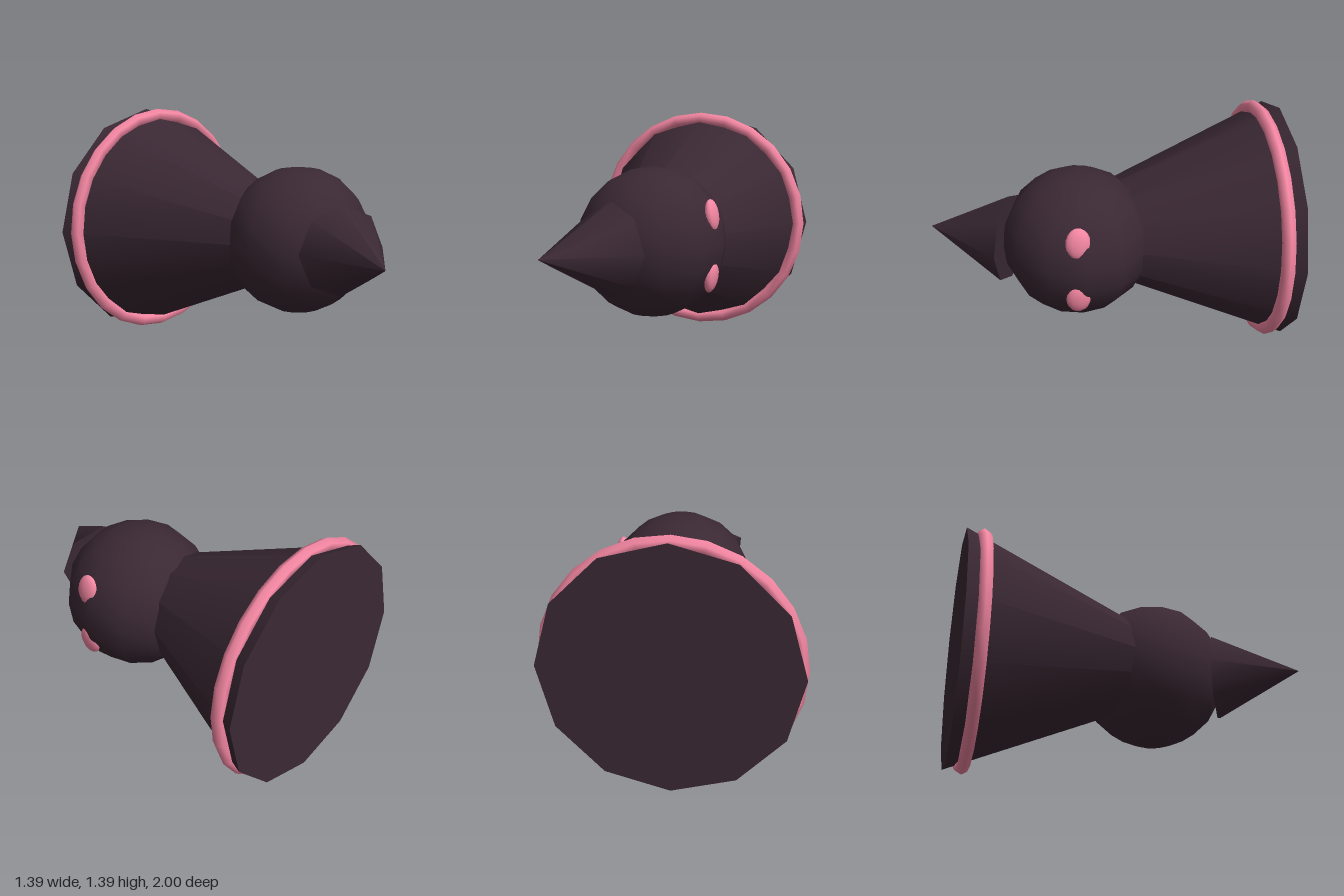
import * as THREE from 'three';

const CENTER_Y = 0.7;

export function createModel() {
  const model = new THREE.Group();
  const dark = new THREE.MeshStandardMaterial({ color: 0x3a2833 });
  const pink = new THREE.MeshStandardMaterial({ color: 0xf587a3 });

  const add = (name, geometry, material, x, y, z) => {
    const mesh = new THREE.Mesh(geometry, material);
    mesh.name = name;
    mesh.position.set(x, CENTER_Y + y, z);
    model.add(mesh);
    return mesh;
  };

  // Robe: a closed cone lying along z, wide end at the back
  const robeLength = 1.64;
  const robe = add('robe', new THREE.ConeGeometry(0.69, robeLength, 12), dark, 0, 0, -1 + robeLength / 2);
  robe.rotation.x = Math.PI / 2;

  // Hem trim around the wide end
  add('hemTrim', new THREE.TorusGeometry(0.658, 0.039, 6, 24), pink, 0, 0, -0.9);

  // Head
  add('head', new THREE.SphereGeometry(0.425, 12, 10), dark, 0.1, 0, 0.18);

  // Pointed hat, tipped towards -x
  const hatBase = new THREE.Vector3(0.02, 0, 0.555);
  const hatTip = new THREE.Vector3(-0.187, 0, 1);
  const axis = hatTip.clone().sub(hatBase);
  const mid = hatBase.clone().lerp(hatTip, 0.5);
  const hat = add('hat', new THREE.ConeGeometry(0.26, axis.length(), 8), dark, mid.x, mid.y, mid.z);
  // Lay the cone along z, then turn it to the tilted axis
  hat.rotation.order = 'YXZ';
  hat.rotation.set(Math.PI / 2, Math.atan2(axis.x, axis.z), 0);

  // Eyes: flattened ovals mirrored in y
  for (const side of [1, -1]) {
    const eye = add(side > 0 ? 'upperEye' : 'lowerEye', new THREE.SphereGeometry(1, 12, 10), pink,
      0.468, side * 0.17, 0.22);
    eye.scale.set(0.034, 0.09, 0.069);
    eye.rotation.z = side * 0.15;
  }

  return model;
}
